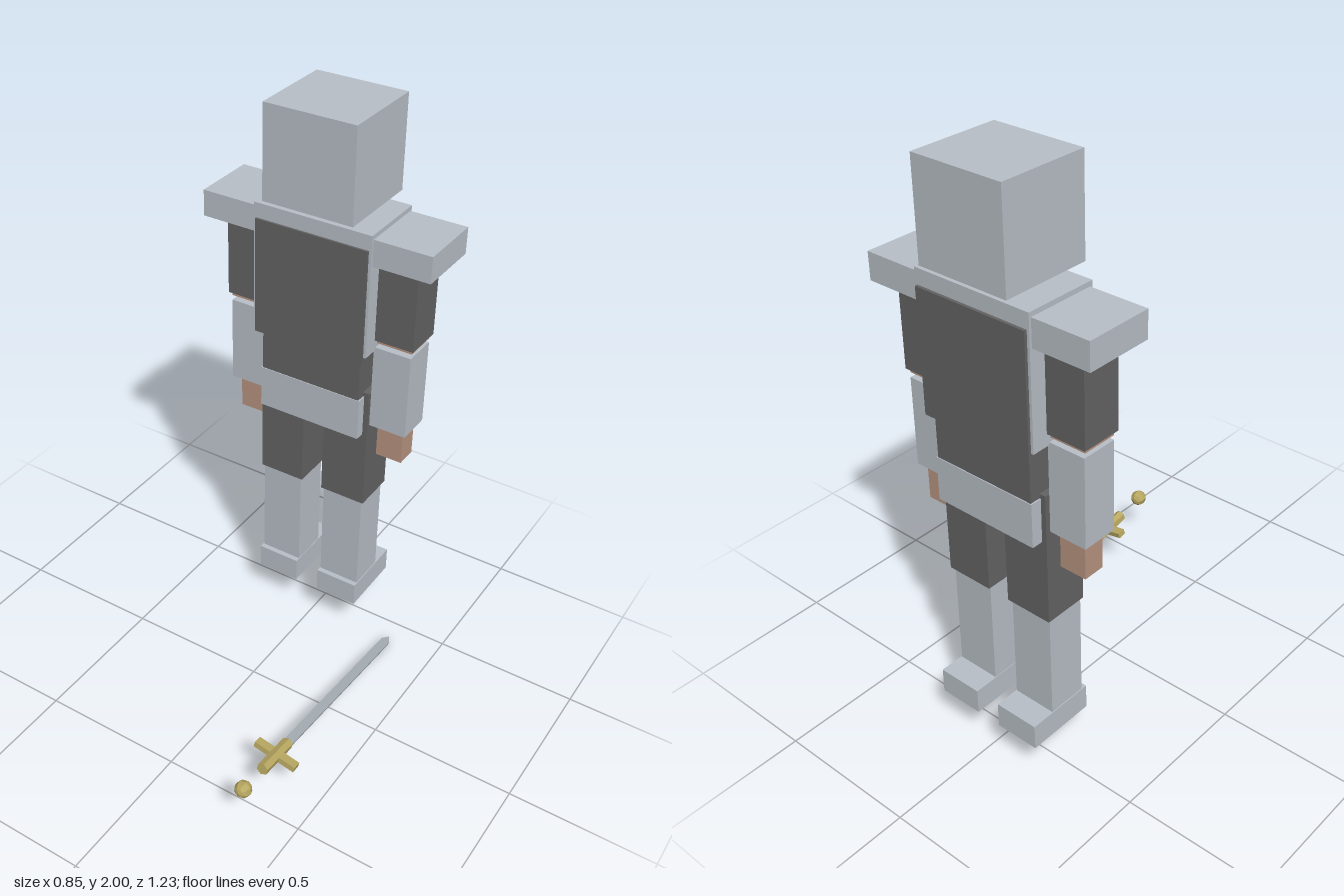
import * as THREE from 'three';

const mat = (color) => new THREE.MeshStandardMaterial({ color, flatShading: true });

export function createModel() {
  const model = new THREE.Group();
  const armour = mat(0xb8bfc6), cloth = mat(0x636363), skin = mat(0xb89480);
  const steel = mat(0xa4acb2), brass = mat(0xb8a862);

  // Box given by its extents on each axis
  const box = (name, parent, material, [x0, x1], [y0, y1], [z0, z1]) => {
    const mesh = new THREE.Mesh(new THREE.BoxGeometry(x1 - x0, y1 - y0, z1 - z0), material);
    mesh.position.set((x0 + x1) / 2, (y0 + y1) / 2, (z0 + z1) / 2);
    mesh.name = name;
    parent.add(mesh);
    return mesh;
  };

  // Knight, built around its own centre line
  const knight = new THREE.Group();
  knight.name = 'knight';
  knight.position.x = -0.013;
  model.add(knight);

  box('helmet', knight, armour, [-0.161, 0.161], [1.68, 2], [-0.617, -0.31]);
  box('neck', knight, skin, [-0.063, 0.063], [1.6, 1.7], [-0.52, -0.41]);
  box('torsoArmour', knight, armour, [-0.212, 0.212], [1.22, 1.652], [-0.59, -0.341]);
  box('tabard', knight, cloth, [-0.203, 0.203], [1.19, 1.6], [-0.6, -0.334]);
  box('waist', knight, cloth, [-0.185, 0.185], [0.95, 1.2], [-0.58, -0.357]);
  box('belt', knight, armour, [-0.19, 0.19], [0.89, 1.04], [-0.583, -0.354]);

  // Arms and legs, mirrored left and right
  for (const [side, s] of [['left', 1], ['right', -1]]) {
    const limb = (name, material, [a, b], y, z) =>
      box(side + name, knight, material, s > 0 ? [a, b] : [-b, -a], y, z);
    limb('ShoulderPlate', armour, [0.205, 0.411], [1.545, 1.636], [-0.582, -0.351]);
    limb('Sleeve', cloth, [0.21, 0.349], [1.26, 1.55], [-0.535, -0.396]);
    limb('UpperArm', skin, [0.216, 0.341], [1.246, 1.5], [-0.525, -0.406]);
    limb('Forearm', armour, [0.207, 0.34], [0.925, 1.23], [-0.527, -0.403]);
    limb('Hand', skin, [0.225, 0.32], [0.797, 0.95], [-0.506, -0.43]);
    limb('Thigh', cloth, [0.04, 0.207], [0.6, 1.055], [-0.544, -0.389]);
    limb('Shin', armour, [0.047, 0.199], [0.15, 0.61], [-0.532, -0.394]);
    limb('Foot', armour, [0.045, 0.202], [0.14, 0.228], [-0.617, -0.375]);
  }

  // Sword lying ahead of the knight: tip at the local origin, handle along +z
  const sword = new THREE.Group();
  sword.name = 'sword';
  sword.position.set(0.321, 0.009, -0.415);
  sword.rotation.set(-0.174, 0.029, -0.19, 'YXZ');
  model.add(sword);

  const outline = new THREE.Shape([[0, 0], [0.016, 0.03], [0.016, 0.78], [-0.016, 0.78], [-0.016, 0.03]]
    .map(([x, y]) => new THREE.Vector2(x, y)));
  const bladeGeometry = new THREE.ExtrudeGeometry(outline, { depth: 0.01, bevelEnabled: false });
  bladeGeometry.translate(0, 0, -0.005).rotateX(Math.PI / 2);
  const blade = new THREE.Mesh(bladeGeometry, steel);
  blade.name = 'blade';
  sword.add(blade);

  box('crossGuard', sword, brass, [-0.077, 0.077], [-0.01, 0.01], [0.8, 0.832]);

  const handle = new THREE.Mesh(new THREE.CylinderGeometry(0.021, 0.021, 0.16, 6), brass);
  handle.name = 'handle';
  handle.rotation.x = Math.PI / 2;
  handle.position.z = 0.825;
  sword.add(handle);

  const pommel = new THREE.Mesh(new THREE.SphereGeometry(0.029, 8, 6), brass);
  pommel.name = 'pommel';
  pommel.rotation.x = Math.PI / 2;
  pommel.position.z = 1.019;
  sword.add(pommel);

  return model;
}
